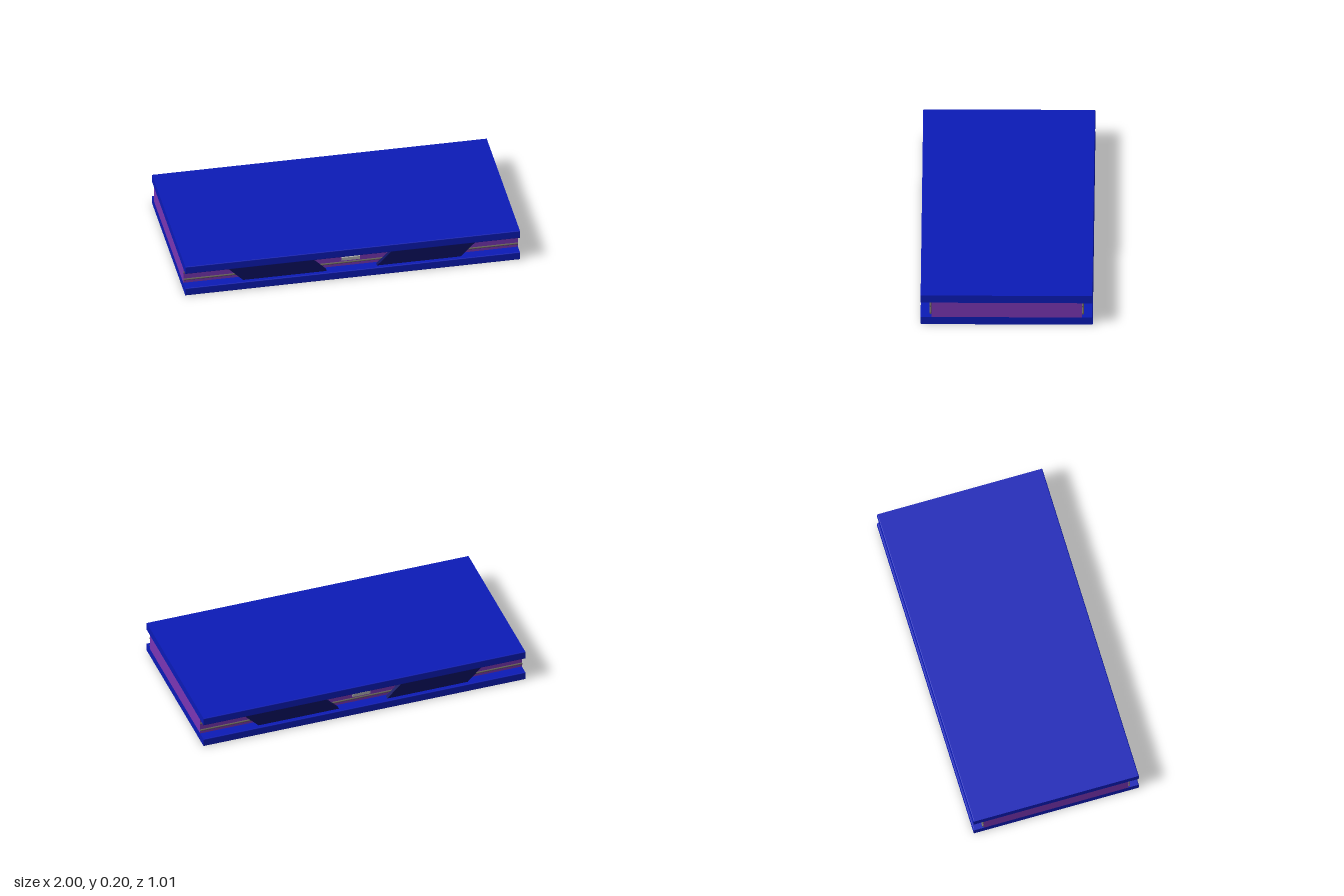
import * as THREE from 'three';

const paint = (color) => new THREE.MeshStandardMaterial({ color });

function add(parent, name, geometry, material, x = 0, y = 0, z = 0) {
  const mesh = new THREE.Mesh(geometry, material);
  mesh.name = name;
  mesh.position.set(x, y, z);
  parent.add(mesh);
  return mesh;
}

// Slab with softly rounded long edges, extruded along x
function slabGeometry(length, height, depth, r) {
  const w = depth / 2, h = height / 2;
  const s = new THREE.Shape();
  s.moveTo(-w + r, -h);
  s.lineTo(w - r, -h);
  s.absarc(w - r, -h + r, r, -Math.PI / 2, 0);
  s.absarc(w - r, h - r, r, 0, Math.PI / 2);
  s.absarc(-w + r, h - r, r, Math.PI / 2, Math.PI);
  s.absarc(-w + r, -h + r, r, Math.PI, Math.PI * 1.5);
  const g = new THREE.ExtrudeGeometry(s, { depth: length, bevelEnabled: false, curveSegments: 4 });
  g.translate(0, 0, -length / 2);
  g.rotateY(Math.PI / 2);
  return g;
}

// Slanted cover plate: a parallelogram leaning away from the centre
function coverGeometry(side) {
  const corners = [[0.15, 0.05], [0.65, 0.05], [0.75, 0.15], [0.25, 0.15]];
  const s = new THREE.Shape(corners.map(([x, y]) => new THREE.Vector2(side * x, y)));
  return new THREE.ExtrudeGeometry(s, { depth: 0.025, bevelEnabled: false });
}

export function createModel() {
  const model = new THREE.Group();
  model.name = 'layeredPanel';
  const blue = paint(0x0b1bb8);
  const navy = paint(0x0a1060);
  const purple = paint(0x7a36b4);
  const rodGrey = paint(0x66605a);
  const silver = paint(0xb4b4b4);

  // Outer slabs and the core between them
  const slab = slabGeometry(2, 0.05, 1.01, 0.005);
  add(model, 'bottomSlab', slab, blue, 0, 0.025, 0);
  add(model, 'topSlab', slab, blue, 0, 0.175, 0);
  add(model, 'core', new THREE.BoxGeometry(2, 0.1, 0.884), purple, 0, 0.1, 0);

  // Rods, connector and cover plates on both long sides
  const rod = new THREE.CylinderGeometry(0.0055, 0.0055, 2, 12).rotateZ(Math.PI / 2);
  const connector = new THREE.BoxGeometry(0.11, 0.02, 0.01);
  for (const dir of [1, -1]) {
    const edge = new THREE.Group();
    edge.name = dir > 0 ? 'frontEdge' : 'backEdge';
    for (const y of [0.076, 0.126]) add(edge, 'rod', rod, rodGrey, 0, y, 0.447);
    add(edge, 'connector', connector, silver, 0, 0.1, 0.446);
    for (const side of [1, -1]) add(edge, 'coverPlate', coverGeometry(side), navy, 0, 0, 0.455);
    if (dir < 0) edge.rotation.y = Math.PI;
    model.add(edge);
  }
  return model;
}
